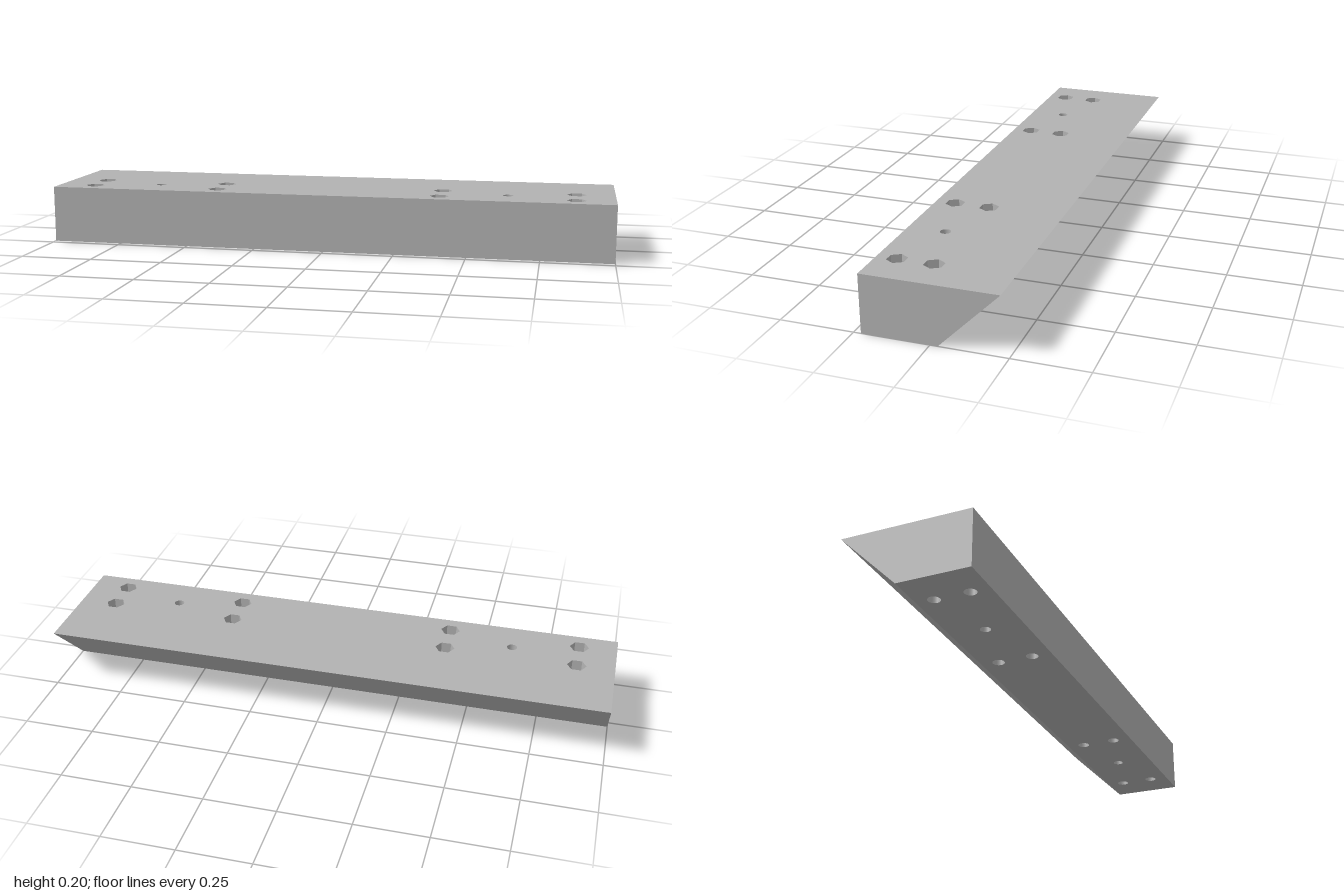
import * as THREE from 'three';

const H = 0.2, POCKET_FLOOR = 0.1;
const FRONT = 0.225, BACK_TOP = -0.225, BACK_BOTTOM = -0.025;
const HEX_R = 0.034, BOLT_R = 0.021, PIN_R = 0.018;

// Hole positions as [x, z], mirrored left and right
const bolts = [], pins = [];
for (const s of [-1, 1]) {
  for (const x of [0.4, 0.867]) for (const z of [0.035, 0.157]) bolts.push([s * x, z]);
  pins.push([s * 0.633, 0.096]);
}

// Closed ring of points; six sides put corners on the x axis
function ring(x, y, r, n) {
  return Array.from({ length: n }, (_, i) => {
    const a = (i / n) * Math.PI * 2;
    return new THREE.Vector2(x + r * Math.cos(a), y + r * Math.sin(a));
  });
}

// Horizontal face with holes [x, z, radius, sides]
function panel(outline, holes, y, up) {
  const s = up ? -1 : 1;
  const shape = new THREE.Shape(outline.map(([x, z]) => new THREE.Vector2(x, s * z)));
  for (const [x, z, r, n] of holes) shape.holes.push(new THREE.Path(ring(x, s * z, r, n)));
  return new THREE.ShapeGeometry(shape).rotateX(s * Math.PI / 2).translate(0, y, 0);
}

// Inward-facing wall of a hole, running from the top down
function bore(r, top, bottom, n) {
  const profile = [new THREE.Vector2(r, top), new THREE.Vector2(r, bottom)];
  const g = new THREE.LatheGeometry(profile, n, Math.PI / 2);
  if (n > 6) return g;
  const flat = g.toNonIndexed();
  flat.computeVertexNormals();
  return flat;
}

// Four outer sides, joined from the lower outline to the upper one
function outerSides(lower, upper) {
  const pos = [];
  for (let i = 0; i < 4; i++) {
    const j = (i + 1) % 4;
    const a = [lower[i][0], 0, lower[i][1]], b = [lower[j][0], 0, lower[j][1]];
    const c = [upper[j][0], H, upper[j][1]], d = [upper[i][0], H, upper[i][1]];
    pos.push(...a, ...b, ...c, ...a, ...c, ...d);
  }
  const g = new THREE.BufferGeometry();
  g.setAttribute('position', new THREE.Float32BufferAttribute(pos, 3));
  g.computeVertexNormals();
  return g;
}

export function createModel() {
  const model = new THREE.Group();
  model.name = 'mountingBar';
  const grey = new THREE.MeshStandardMaterial({ color: 0xb2b2b2 });
  grey.name = 'plainGrey';
  const add = (name, geometry, x = 0, z = 0) => {
    const mesh = new THREE.Mesh(geometry, grey);
    mesh.name = name;
    mesh.position.set(x, 0, z);
    model.add(mesh);
  };

  // Bar with a sloping back
  const outline = back => [[-1, FRONT], [1, FRONT], [1, back], [-1, back]];
  const lower = outline(BACK_BOTTOM), upper = outline(BACK_TOP);
  const pinHoles = pins.map(([x, z]) => [x, z, PIN_R, 32]);
  add('barSides', outerSides(lower, upper));
  add('barTop', panel(upper, [...bolts.map(([x, z]) => [x, z, HEX_R, 6]), ...pinHoles], H, true));
  add('barBottom', panel(lower, [...bolts.map(([x, z]) => [x, z, BOLT_R, 32]), ...pinHoles], 0, false));

  // Hexagonal nut pockets with round bolt holes below
  const hexWall = bore(HEX_R, H, POCKET_FLOOR, 6);
  const boltWall = bore(BOLT_R, POCKET_FLOOR, 0, 32);
  const hexOutline = ring(0, 0, HEX_R, 6).map(p => [p.x, p.y]);
  const hexFloor = panel(hexOutline, [[0, 0, BOLT_R, 32]], POCKET_FLOOR, true);
  for (const [x, z] of bolts) {
    add('nutPocketWall', hexWall, x, z);
    add('nutPocketFloor', hexFloor, x, z);
    add('boltHole', boltWall, x, z);
  }

  // Small through holes between the bolt groups
  const pinWall = bore(PIN_R, H, 0, 32);
  for (const [x, z] of pins) add('pinHole', pinWall, x, z);

  return model;
}
